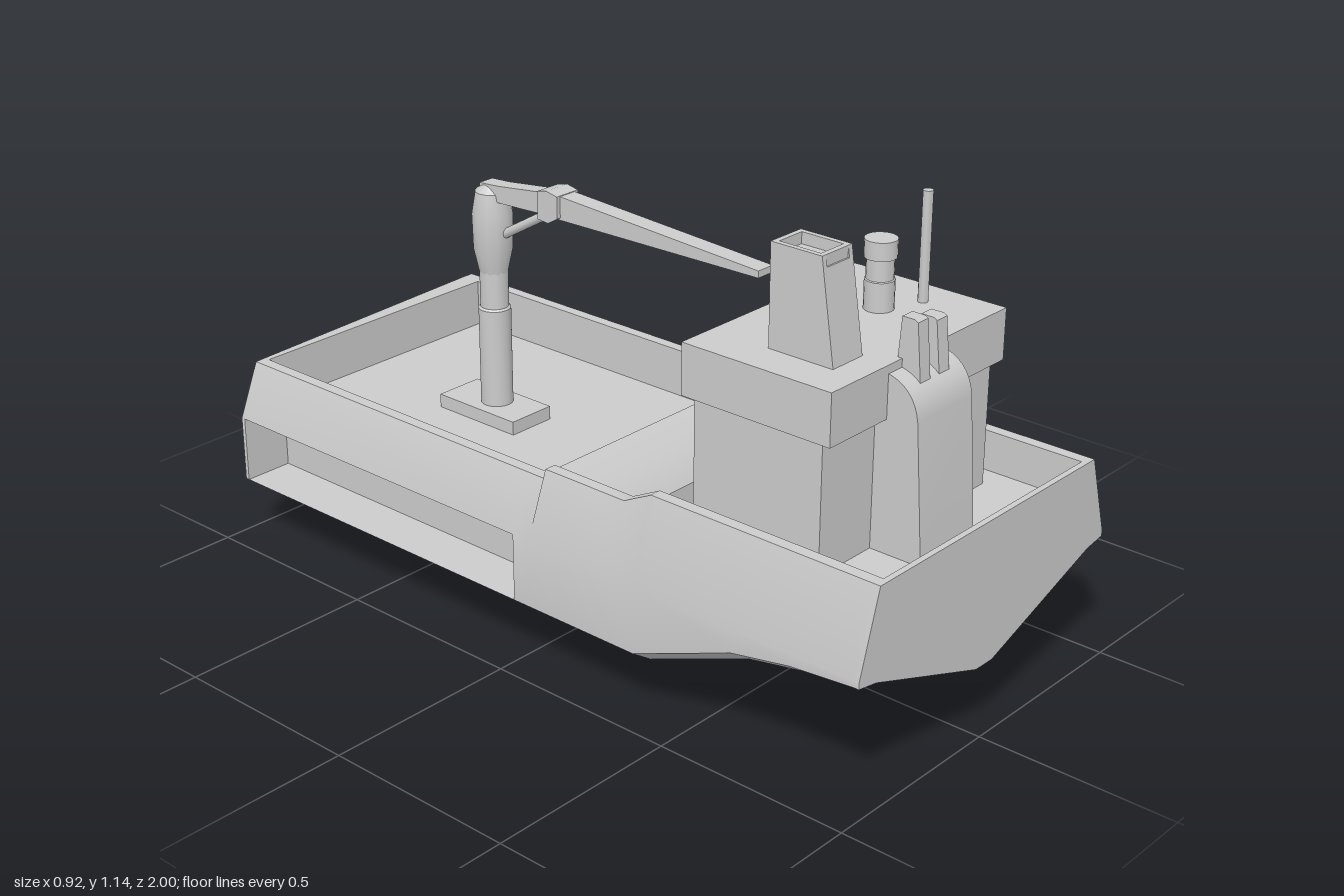
import * as THREE from 'three';
import { toCreasedNormals } from 'three/addons/utils/BufferGeometryUtils.js';

const mat = new THREE.MeshStandardMaterial({ color: 0xcccccc, side: THREE.DoubleSide });

function add(parent, name, geometry) {
  const mesh = new THREE.Mesh(geometry, mat);
  mesh.name = name;
  parent.add(mesh);
  return mesh;
}

// Box given by its limits
function box(x0, x1, y0, y1, z0, z1) {
  return new THREE.BoxGeometry(x1 - x0, y1 - y0, z1 - z0)
    .translate((x0 + x1) / 2, (y0 + y1) / 2, (z0 + z1) / 2);
}

// Side profile of [z, y] points or a Shape, extruded across x
function acrossX(profile, x0, x1) {
  const shape = Array.isArray(profile)
    ? new THREE.Shape(profile.map(([z, y]) => new THREE.Vector2(z, y))) : profile;
  const g = new THREE.ExtrudeGeometry(shape, { depth: x1 - x0, bevelEnabled: false, curveSegments: 8 });
  return toCreasedNormals(g.rotateY(-Math.PI / 2).translate(x1, 0, 0), 0.5);
}

// Turned part from [radius, y] points
function turned(points, x, z, sides = 20) {
  const g = new THREE.LatheGeometry(points.map(([r, y]) => new THREE.Vector2(r, y)), sides);
  return toCreasedNormals(g.translate(x, 0, z), 0.6);
}

// Hull: U-shaped sections lofted along z; repeated z values make vertical steps
function hullGeometry() {
  // z, keel height, rim height, deck height, side slot wall
  const stations = [
    [-1, 0, 0.475, 0.475], [-0.945, 0, 0.475, 0.475],
    [-0.945, 0, 0.475, 0.35, 0.33], [0.01, 0, 0.475, 0.35, 0.33],
    [0.01, 0, 0.475, 0.455], [0.06, 0, 0.475, 0.455], [0.06, 0, 0.5, 0.455],
    [0.15, 0, 0.5, 0.46], [0.22, 0, 0.5, 0.472], [0.3, 0, 0.5, 0.492],
    [0.38, 0, 0.54, 0.525], [0.39, 0.004, 0.54, 0.528], [0.39, 0.004, 0.54, 0.44],
    [0.66, 0.11, 0.54, 0.44], [0.82, 0.14, 0.54, 0.44],
    [0.985, 0.182, 0.54, 0.44], [0.985, 0.182, 0.54, 0.54], [1, 0.185, 0.54, 0.54],
  ];
  const rings = stations.map(([z, k, t, f, s = 0.46]) => {
    const lo = Math.min(0.325, k + 0.17);
    const chine = k + 0.13;
    return [
      [0.4, t], [0.46, 0.34], [0.46, lo], [0.4, chine], [0.03, k],
      [-0.03, k], [-0.4, chine], [-0.46, lo], [-s, lo], [-s, 0.34], [-0.46, 0.34], [-0.4, t],
      [-0.37, t], [-0.37, f], [0.37, f], [0.37, t],
    ].map(([x, y]) => {
      // the aft face is slightly skewed
      const skew = z === -1 ? 0.044 * THREE.MathUtils.clamp((0.33 - x) / 0.79, 0, 1) : 0;
      return new THREE.Vector3(x, y, z + skew);
    });
  });
  const pos = [];
  const tri = (a, b, c) => {
    if (new THREE.Triangle(a, b, c).getArea() < 1e-8) return;
    for (const p of [a, b, c]) pos.push(p.x, p.y, p.z);
  };
  const n = rings[0].length;
  for (let i = 0; i < rings.length - 1; i++) {
    for (let j = 0; j < n; j++) {
      const a = rings[i][j], b = rings[i][(j + 1) % n];
      const c = rings[i + 1][j], d = rings[i + 1][(j + 1) % n];
      tri(a, c, b);
      tri(b, c, d);
    }
  }
  const aft = rings[0], bow = rings[rings.length - 1];
  for (let j = 1; j < n - 1; j++) {
    tri(aft[0], aft[j], aft[j + 1]);
    tri(bow[0], bow[j + 1], bow[j]);
  }
  const g = new THREE.BufferGeometry();
  g.setAttribute('position', new THREE.Float32BufferAttribute(pos, 3));
  return toCreasedNormals(g, 0.7);
}

// Window frame facing +z
function windowFrame(w, h) {
  const rect = (C, a, b) => new C([[-a, -b], [a, -b], [a, b], [-a, b]].map(([x, y]) => new THREE.Vector2(x, y)));
  const shape = rect(THREE.Shape, w / 2, h / 2);
  shape.holes.push(rect(THREE.Path, w / 2 - 0.009, h / 2 - 0.009));
  return new THREE.ExtrudeGeometry(shape, { depth: 0.006, bevelEnabled: false });
}

function buildDeckhouse() {
  const house = new THREE.Group();
  house.name = 'deckhouse';
  add(house, 'lowerHouse', box(-0.305, 0.305, 0.44, 0.755, 0.42, 0.77));

  // Bridge with a rounded bay at its aft corner
  const plan = new THREE.Shape();
  plan.moveTo(-0.32, -0.8);
  plan.lineTo(0.31, -0.8);
  plan.lineTo(0.31, -0.395);
  plan.absarc(0.205, -0.395, 0.105, 0, Math.PI, false);
  plan.lineTo(-0.32, -0.395);
  add(house, 'bridge', new THREE.ExtrudeGeometry(plan, { depth: 0.125, bevelEnabled: false, curveSegments: 8 })
    .rotateX(-Math.PI / 2).translate(0, 0.755, 0));

  // Bridge windows: aft wall, side wall and bay
  const addWindow = (x, z, yaw, w) => {
    const m = add(house, 'windowFrame', windowFrame(w, 0.1));
    m.position.set(x, 0.817, z);
    m.rotation.y = yaw;
  };
  for (let i = 0; i < 5; i++) addWindow(-0.275 + i * 0.083, 0.395, Math.PI, 0.066);
  for (let i = 0; i < 4; i++) addWindow(0.31, 0.45 + i * 0.098, Math.PI / 2, 0.08);
  for (let i = 0; i < 8; i++) {
    const a = (i + 0.5) * Math.PI / 8;
    const r = 0.105 * Math.cos(Math.PI / 16);
    addWindow(0.205 + r * Math.cos(a), 0.395 - r * Math.sin(a), Math.PI / 2 + a, 0.038);
  }

  // Rounded casing on the forward wall with two vents
  const casing = new THREE.Shape();
  casing.moveTo(0.76, 0.44);
  casing.lineTo(0.905, 0.44);
  casing.lineTo(0.88, 0.77);
  casing.quadraticCurveTo(0.87, 0.85, 0.79, 0.862);
  casing.lineTo(0.76, 0.862);
  add(house, 'forwardCasing', acrossX(casing, -0.125, 0.072));
  const vent = (top) => [[0.785, 0.84], [0.85, 0.82], [0.836, top - 0.005], [0.828, top], [0.795, top]];
  add(house, 'vent', acrossX(vent(0.975), -0.078, -0.042));
  add(house, 'vent', acrossX(vent(0.96), -0.01, 0.027));

  // Chimney with a hollow top
  add(house, 'chimney', acrossX([[0.555, 0.87], [0.73, 0.87], [0.695, 1.095], [0.555, 1.095]], -0.223, -0.122));
  const rim = [[0.555, 1.095], [0.695, 1.095], [0.691, 1.122], [0.555, 1.122]];
  add(house, 'chimneyRim', acrossX(rim, -0.223, -0.21));
  add(house, 'chimneyRim', acrossX(rim, -0.135, -0.122));
  add(house, 'chimneyRim', box(-0.223, -0.122, 1.095, 1.122, 0.555, 0.568));
  add(house, 'chimneyRim', box(-0.223, -0.122, 1.095, 1.122, 0.678, 0.691));

  add(house, 'exhaust', turned([[0, 0.87], [0.035, 0.87], [0.035, 0.95], [0.032, 0.952], [0.032, 1],
    [0.038, 1.002], [0.038, 1.045], [0, 1.045]], 0.12, 0.59));
  add(house, 'mast', turned([[0, 0.87], [0.012, 0.87], [0.012, 1.142], [0, 1.142]], 0.217, 0.64, 12));

  // Side stairway: two sloping flights joined by landings
  add(house, 'lowerFlight', acrossX([[0.63, 0.545], [0.63, 0.556], [0.54, 0.595], [0.54, 0.584]], 0.34, 0.37));
  add(house, 'upperFlight', acrossX([[0.6, 0.594], [0.6, 0.603], [0.5, 0.622], [0.5, 0.612]], 0.34, 0.37));
  add(house, 'landing', box(0.3, 0.37, 0.572, 0.582, 0.5, 0.54));
  add(house, 'landing', box(0.3, 0.345, 0.594, 0.602, 0.57, 0.62));
  add(house, 'stairPost', box(0.3, 0.31, 0.59, 0.665, 0.5, 0.51));
  return house;
}

function buildCrane() {
  const crane = new THREE.Group();
  crane.name = 'crane';
  const cx = -0.02, cz = -0.48;
  add(crane, 'craneBase', box(-0.09, 0.042, 0.35, 0.385, -0.615, -0.355));
  add(crane, 'craneColumn', turned([[0.041, 0.38], [0.041, 0.64], [0.036, 0.645], [0.036, 0.8]], cx, cz));
  add(crane, 'craneHead', turned([[0, 0.735], [0.036, 0.735], [0.05, 0.8], [0.052, 0.89], [0.042, 0.945],
    [0.02, 0.965], [0, 0.967]], cx, cz, 12));

  // Boom, wide at the collar and tapering to its tip
  add(crane, 'boomRoot', acrossX([[-0.5, 0.925], [-0.26, 0.935], [-0.26, 0.992], [-0.44, 0.97], [-0.5, 0.966]],
    cx - 0.022, cx + 0.022));
  add(crane, 'boomCollar', acrossX([[-0.29, 0.925], [-0.255, 0.922], [-0.225, 0.94], [-0.225, 0.995],
    [-0.26, 1.002], [-0.29, 0.995]], cx - 0.036, cx + 0.036));
  add(crane, 'boomArm', acrossX([[-0.24, 0.934], [0.38, 0.943], [0.38, 0.96], [-0.24, 0.994]],
    cx - 0.025, cx + 0.025));

  // Lifting strut under the boom
  const path = new THREE.LineCurve3(new THREE.Vector3(cx, 0.835, -0.45), new THREE.Vector3(cx, 0.94, -0.27));
  add(crane, 'liftStrut', new THREE.TubeGeometry(path, 1, 0.012, 10));
  return crane;
}

export function createModel() {
  const ship = new THREE.Group();
  ship.name = 'supplyShip';
  add(ship, 'hull', hullGeometry());
  ship.add(buildDeckhouse(), buildCrane());
  return ship;
}
